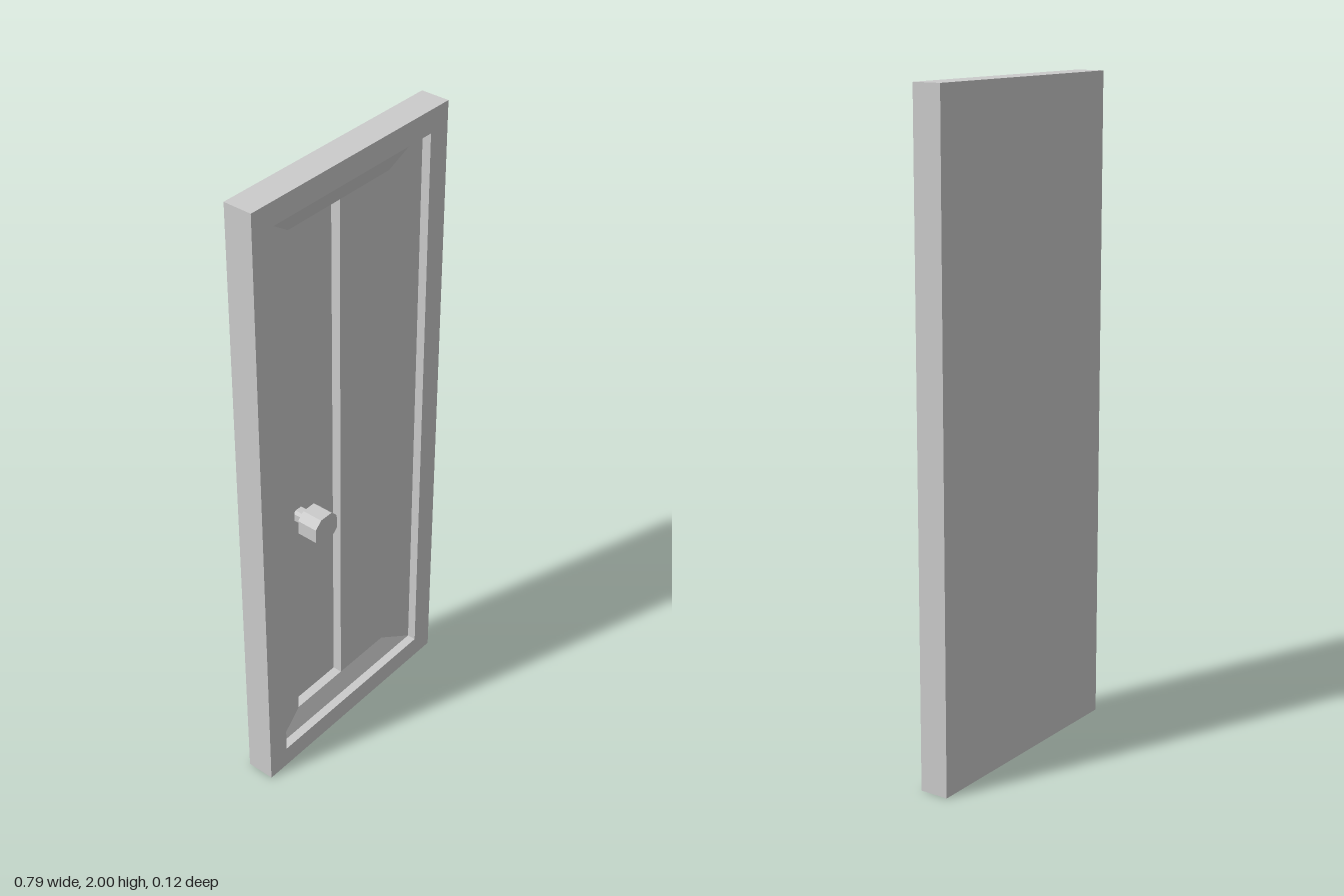
import * as THREE from 'three';

const material = new THREE.MeshStandardMaterial({ color: 0xcccccc, flatShading: true });

// Joins rectangular rings [halfWidth, bottom, top, z] in order, capping both ends
function loftRectangles(rings) {
  const loops = rings.map(([w, y0, y1, z]) => [[-w, y0, z], [w, y0, z], [w, y1, z], [-w, y1, z]]);
  const positions = [];
  const quad = (a, b, c, d) => positions.push(...a, ...b, ...c, ...a, ...c, ...d);
  for (let r = 0; r < loops.length - 1; r++) {
    for (let i = 0; i < 4; i++) {
      const j = (i + 1) % 4;
      quad(loops[r][i], loops[r][j], loops[r + 1][j], loops[r + 1][i]);
    }
  }
  const [a, b, c, d] = loops[0];
  quad(d, c, b, a);
  quad(...loops[loops.length - 1]);
  const geometry = new THREE.BufferGeometry();
  geometry.setAttribute('position', new THREE.Float32BufferAttribute(positions, 3));
  geometry.computeVertexNormals();
  return geometry;
}

// Square with cut corners, extruded from zBack to zFront
function choppedSquare(half, cut, zBack, zFront) {
  const k = half - cut;
  const outline = [[-k, -half], [k, -half], [half, -k], [half, k], [k, half], [-k, half], [-half, k], [-half, -k]];
  const shape = new THREE.Shape(outline.map(([x, y]) => new THREE.Vector2(x, y)));
  const geometry = new THREE.ExtrudeGeometry(shape, { depth: zFront - zBack, bevelEnabled: false });
  return geometry.translate(0, 0, zBack);
}

export function createModel() {
  const model = new THREE.Group();
  model.name = 'door';
  const add = (name, geometry, x, y, z) => {
    const mesh = new THREE.Mesh(geometry, material);
    mesh.name = name;
    mesh.position.set(x, y, z);
    model.add(mesh);
  };

  // Slab: outer sides, front rim, stepped edge, sloped border, deep centre
  add('doorSlab', loftRectangles([
    [0.393, 0, 2, -0.06],
    [0.393, 0, 2, 0.03],
    [0.32, 0.07, 1.93, 0.03],
    [0.32, 0.07, 1.93, 0.002],
    [0.205, 0.13, 1.85, -0.02],
    [0.205, 0.13, 1.85, -0.05],
  ]), 0, 0, 0);

  // Raised half of the centre, level with the inner edge of the slope
  add('raisedPanel', new THREE.BoxGeometry(0.205, 1.72, 0.03), 0.1025, 0.99, -0.035);

  // Knob on a short stem
  add('knob', choppedSquare(0.046, 0.023, -0.01, 0.057), -0.154, 0.866, 0);
  add('knobStem', choppedSquare(0.02, 0.008, -0.05, -0.01), -0.154, 0.866, 0);

  return model;
}
